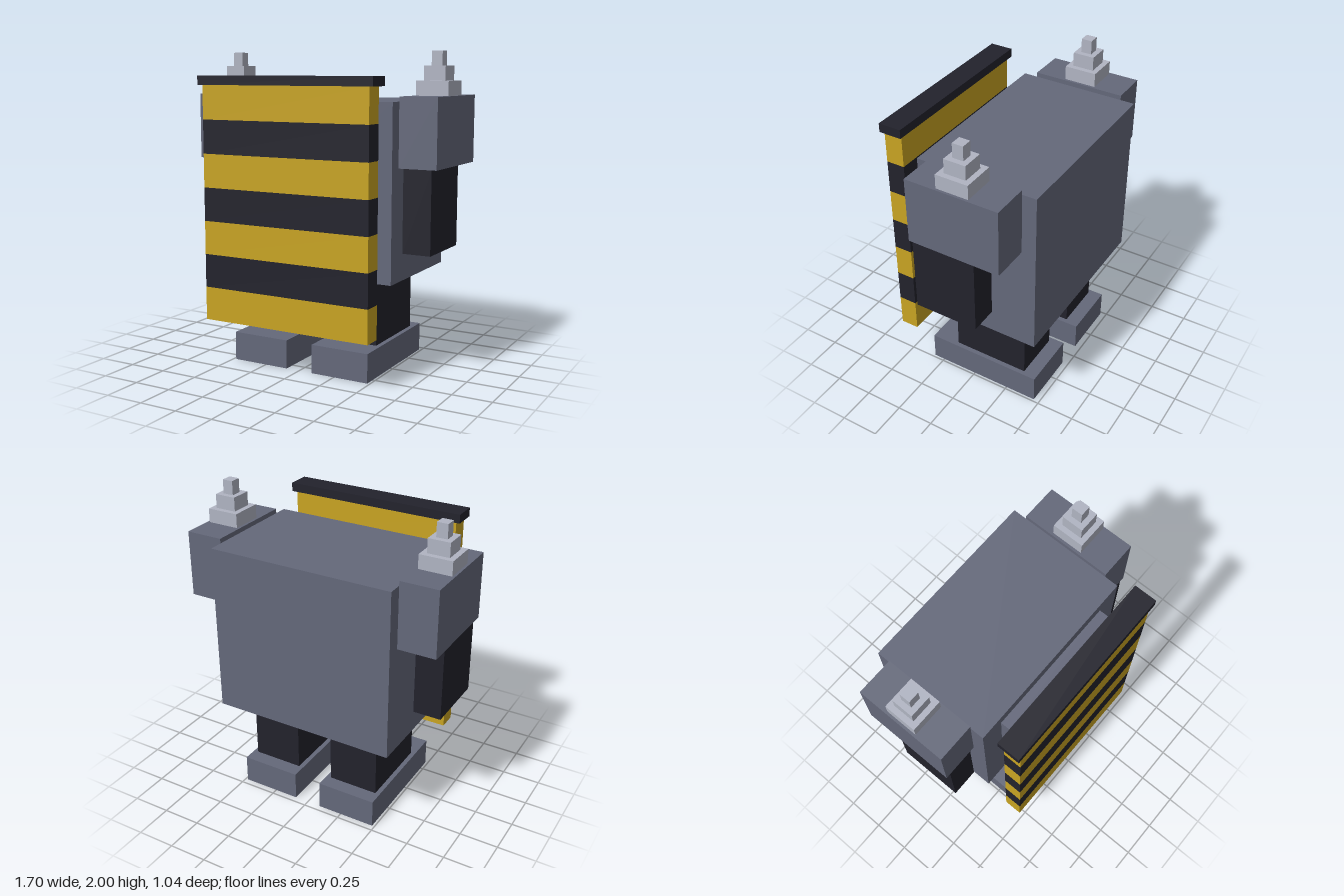
import * as THREE from 'three';

const paint = (name, color) => {
  const m = new THREE.MeshStandardMaterial({ color });
  m.name = name;
  return m;
};

export function createModel() {
  const steel = paint('steel grey', 0x64687a);
  const dark = paint('near black', 0x22222c);
  const yellow = paint('hazard yellow', 0xc8a422);
  const silver = paint('light silver', 0xb0b4c2);

  const model = new THREE.Group();
  model.name = 'shieldRobot';

  // Box given by its [min, max] range on each axis
  const box = (parent, name, material, [x0, x1], [y0, y1], [z0, z1]) => {
    const mesh = new THREE.Mesh(new THREE.BoxGeometry(x1 - x0, y1 - y0, z1 - z0), material);
    mesh.position.set((x0 + x1) / 2, (y0 + y1) / 2, (z0 + z1) / 2);
    mesh.name = name;
    parent.add(mesh);
  };

  // Body
  box(model, 'torso', steel, [-0.605, 0.605], [0.61, 1.7], [-0.522, 0.265]);
  box(model, 'chestPlate', steel, [-0.452, 0.452], [1.065, 1.61], [0.265, 0.325]);

  // Limbs, mirrored left and right
  for (const [side, s] of [['left', 1], ['right', -1]]) {
    const span = (a, b) => (s > 0 ? [a, b] : [-b, -a]);

    const leg = new THREE.Group();
    leg.name = side + 'Leg';
    box(leg, side + 'Shin', dark, span(0.123, 0.453), [0.185, 0.61], [-0.367, 0.145]);
    box(leg, side + 'Foot', steel, span(0.092, 0.483), [0, 0.185], [-0.46, 0.325]);

    const arm = new THREE.Group();
    arm.name = side + 'Arm';
    box(arm, side + 'Shoulder', steel, span(0.605, 0.848), [1.305, 1.73], [-0.43, 0.175]);
    box(arm, side + 'Forearm', dark, span(0.637, 0.817), [0.793, 1.305], [-0.245, 0.175]);

    // Stepped spike on the shoulder
    [0.105, 0.07, 0.035].forEach((half, i) => {
      box(arm, side + 'SpikeStep' + (i + 1), silver, span(0.727 - half, 0.727 + half),
        [1.73 + i * 0.09, 1.82 + i * 0.09], [-0.13 - half, -0.13 + half]);
    });
    model.add(leg, arm);
  }

  // Striped shield held in front, with a dark top rail
  const shield = new THREE.Group();
  shield.name = 'shield';
  const bottom = 0.305, top = 1.793, stripes = 7, step = (top - bottom) / stripes;
  for (let i = 0; i < stripes; i++) {
    box(shield, 'shieldStripe' + (i + 1), i % 2 ? dark : yellow, [-0.576, 0.576],
      [bottom + i * step, bottom + (i + 1) * step], [0.39, 0.51]);
  }
  box(shield, 'shieldRail', dark, [-0.605, 0.605], [top, 1.85], [0.373, 0.522]);
  model.add(shield);

  return model;
}
